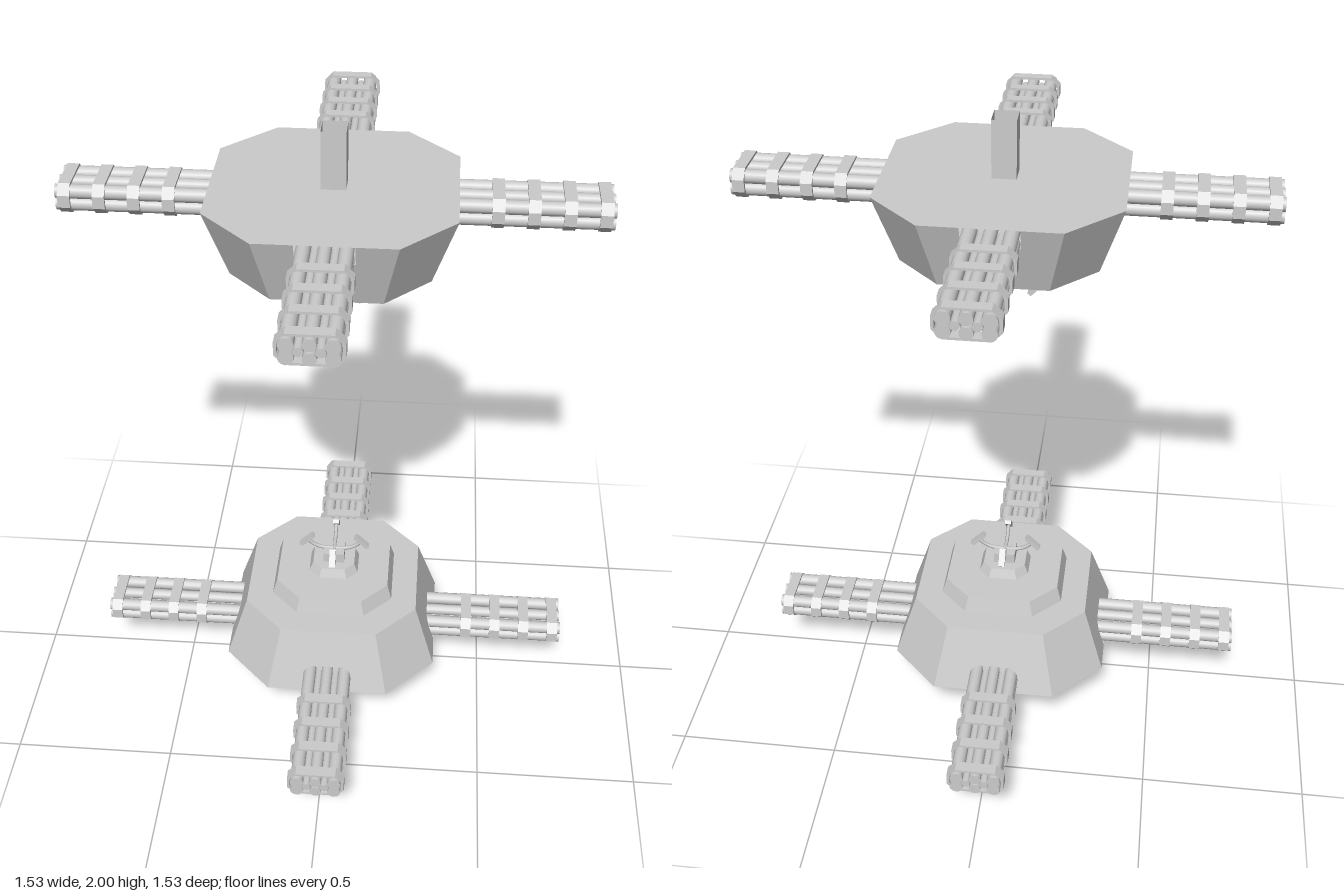
import * as THREE from 'three';

const grey = new THREE.MeshStandardMaterial({ color: 0xcccccc, flatShading: true, side: THREE.DoubleSide });
const smooth = new THREE.MeshStandardMaterial({ color: 0xcccccc, side: THREE.DoubleSide });

function add(parent, name, geometry, material = grey) {
  const mesh = new THREE.Mesh(geometry, material);
  mesh.name = name;
  parent.add(mesh);
  return mesh;
}

// Square of half-width a whose corners are cut at c, at height y
const octagon = (a, c, y) =>
  [[c, a], [a, c], [a, -c], [c, -a], [-c, -a], [-a, -c], [-a, c], [-c, a]].map(([x, z]) => [x, y, z]);

// Tapered octagonal block; the four main walls can be left out
function taper(a0, c0, y0, a1, c1, y1, openWalls = false) {
  const low = octagon(a0, c0, y0), high = octagon(a1, c1, y1), pos = [];
  for (let i = 0; i < 8; i++) {
    const j = (i + 1) % 8;
    if (!openWalls || i % 2 === 0) pos.push(low[i], low[j], high[j], low[i], high[j], high[i]);
    pos.push([0, y1, 0], high[i], high[j], [0, y0, 0], low[j], low[i]);
  }
  const g = new THREE.BufferGeometry();
  g.setAttribute('position', new THREE.Float32BufferAttribute(pos.flat(), 3));
  g.computeVertexNormals();
  return g;
}

// Sloping wall with a slot at its foot for the barrels
function slottedWall(a0, c0, y0, a1, c1, y1) {
  const s = new THREE.Shape([[-c0, y0], [-0.08, y0], [-0.08, 0.23], [-0.055, 0.255], [0.055, 0.255],
    [0.08, 0.23], [0.08, y0], [c0, y0], [c1, y1], [-c1, y1]].map(p => new THREE.Vector2(...p)));
  const g = new THREE.ShapeGeometry(s), p = g.attributes.position;
  for (let i = 0; i < p.count; i++) p.setZ(i, a0 + (a1 - a0) * (p.getY(i) - y0) / (y1 - y0));
  g.computeVertexNormals();
  return g;
}

// Outline of a clamp band
const band = (w, h, c) => [[-w, -h + c], [-w + c, -h], [w - c, -h], [w, -h + c],
  [w, h - c], [w - c, h], [-w + c, h], [-w, h - c]].map(p => new THREE.Vector2(...p));

// Barrel bundle pointing along +z
function barrelBundle() {
  const gun = new THREE.Group();
  gun.name = 'barrelBundle';
  const barrels = [[0, 0.02, 0.018], [0, -0.02, 0.018], [0.027, 0, 0.013], [-0.027, 0, 0.013]];
  for (const x of [-0.056, 0.056]) for (const y of [-0.018, 0.018]) barrels.push([x, y, 0.02]);
  for (const [x, y, r] of barrels) {
    const b = add(gun, 'barrel', new THREE.CylinderGeometry(r, r, 0.465, 14), smooth);
    b.rotation.x = Math.PI / 2;
    b.position.set(x, y, 0.5325);
  }
  for (let i = 0; i < 4; i++) {
    const s = new THREE.Shape(band(0.086, 0.044, 0.026));
    s.holes.push(new THREE.Path(band(0.078, 0.037, 0.022)));
    add(gun, 'clampBand', new THREE.ExtrudeGeometry(s, { depth: 0.034, bevelEnabled: false }))
      .position.z = 0.432 + i * 0.0965;
  }
  gun.position.y = 0.21;
  return gun;
}

// Curved claw reaching out along +x with a cross plate on its tip
function claw() {
  const g = new THREE.Group();
  g.name = 'claw';
  const path = new THREE.CatmullRomCurve3([[0, 0.488], [0.045, 0.492], [0.07, 0.504], [0.09, 0.523]]
    .map(([x, y]) => new THREE.Vector3(x, y, 0)));
  add(g, 'clawArm', new THREE.TubeGeometry(path, 12, 0.006, 6), smooth);
  const plate = add(g, 'clawPlate', new THREE.BoxGeometry(0.058, 0.013, 0.02));
  plate.position.set(0.09, 0.522, 0);
  plate.rotation.z = -Math.PI / 4;
  return g;
}

function turret() {
  const unit = new THREE.Group();
  unit.name = 'turret';
  const hull = [0.343, 0.193, 0.17, 0.278, 0.153, 0.375];
  add(unit, 'hull', taper(...hull, true));
  add(unit, 'upperTier', taper(0.196, 0.11, 0.375, 0.182, 0.1, 0.425));
  add(unit, 'capTier', taper(0.08, 0.045, 0.425, 0.068, 0.038, 0.455));
  add(unit, 'neck', new THREE.BoxGeometry(0.068, 0.035, 0.068)).position.y = 0.4725;

  // Open square post
  const post = add(unit, 'post', new THREE.CylinderGeometry(0.0495, 0.0495, 0.17, 4, 1, true));
  post.rotation.y = Math.PI / 4;
  post.position.y = 0.085;

  // Parts repeated on all four sides
  for (let i = 0; i < 4; i++) {
    const side = new THREE.Group();
    side.name = 'side';
    add(side, 'slottedWall', slottedWall(...hull));
    side.add(barrelBundle(), claw());
    side.rotation.y = i * Math.PI / 2;
    unit.add(side);
  }
  return unit;
}

export function createModel() {
  const model = new THREE.Group();
  model.name = 'twinTurrets';
  const lower = turret(), upper = turret();
  lower.name = 'lowerTurret';
  upper.name = 'upperTurret';
  upper.rotation.x = Math.PI;
  upper.position.y = 2;
  model.add(lower, upper);
  return model;
}
